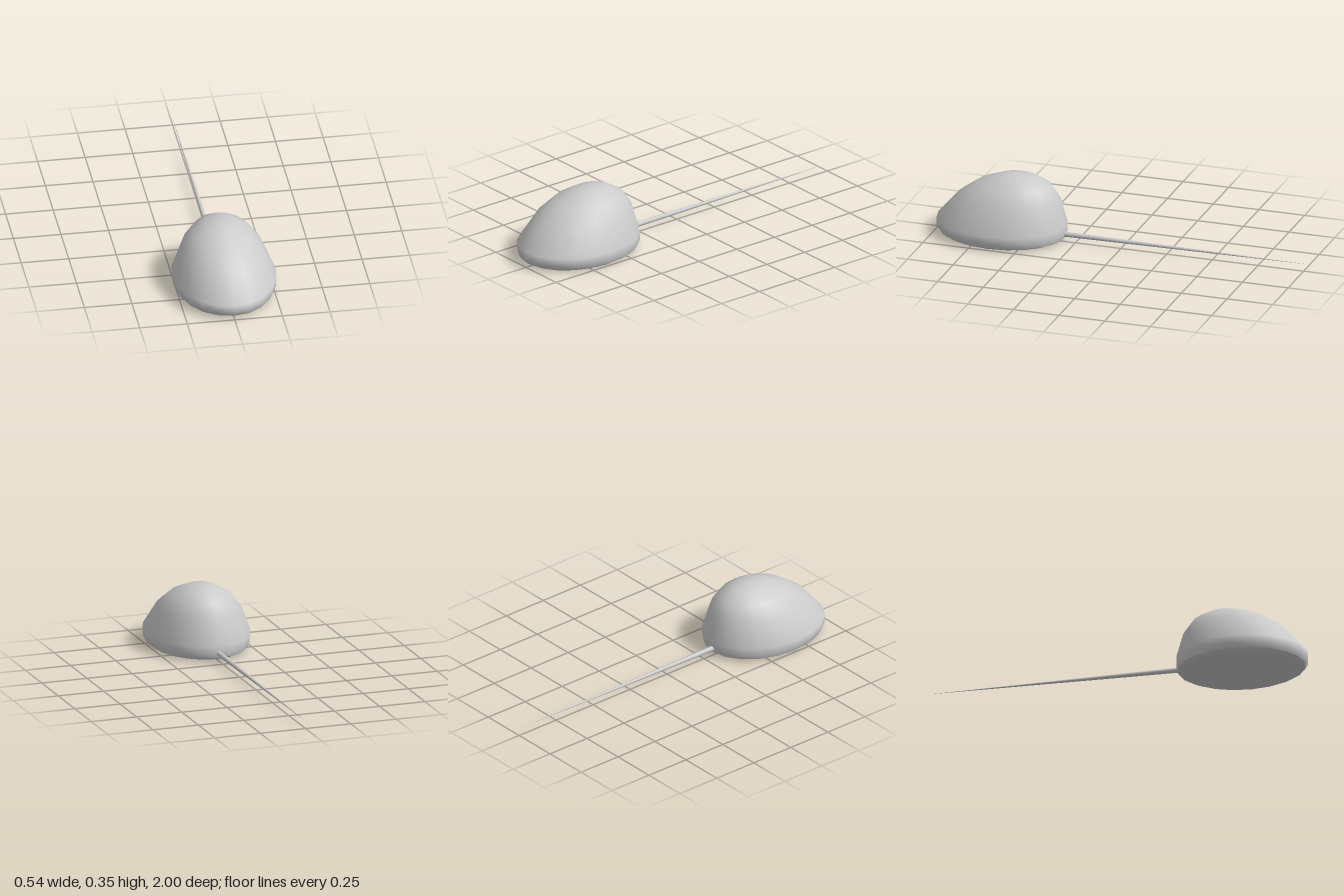
import * as THREE from 'three';

const SEGMENTS = 20;

// Skin over elliptical rings, listed top to bottom: [y, half width, back z, front z]
function loft(rings) {
  const positions = [], index = [];
  for (const [y, w, back, front] of rings) {
    const mid = (front + back) / 2, half = (front - back) / 2;
    for (let i = 0; i < SEGMENTS; i++) {
      const a = (i / SEGMENTS) * Math.PI * 2;
      positions.push(w * Math.sin(a), y, mid + half * Math.cos(a));
    }
  }
  for (let r = 0; r < rings.length - 1; r++) {
    for (let i = 0; i < SEGMENTS; i++) {
      const j = (i + 1) % SEGMENTS;
      const a = r * SEGMENTS + i, b = r * SEGMENTS + j;
      const c = a + SEGMENTS, d = b + SEGMENTS;
      if (rings[r][1] > 0) index.push(a, d, b);
      if (rings[r + 1][1] > 0) index.push(a, c, d);
      else if (rings[r][1] > 0) index.splice(-3, 3, a, c, b);
    }
  }
  const g = new THREE.BufferGeometry();
  g.setAttribute('position', new THREE.Float32BufferAttribute(positions, 3));
  g.setIndex(index);
  g.computeVertexNormals();
  // The collapsed top ring shares one upward normal
  if (rings[0][1] === 0) {
    for (let i = 0; i < SEGMENTS; i++) g.attributes.normal.setXYZ(i, 0, 1, 0);
  }
  return g;
}

export function createModel() {
  const group = new THREE.Group();
  const grey = new THREE.MeshStandardMaterial({ color: 0xcccccc });
  const add = (name, geometry) => {
    const mesh = new THREE.Mesh(geometry, grey);
    mesh.name = name;
    group.add(mesh);
    return mesh;
  };

  // Domed body, steep at the back and sloping to the nose
  const rim = [0.018, 0.257, 0.312, 0.985];
  const edge = [0.006, 0.238, 0.337, 0.962];
  add('body', loft([
    [0.35, 0, 0.57, 0.57],
    [0.334, 0.081, 0.462, 0.672],
    [0.29, 0.155, 0.387, 0.782],
    [0.218, 0.214, 0.34, 0.885],
    [0.084, 0.272, 0.304, 1.0],
    [0.042, 0.268, 0.303, 1.0],
    rim,
  ]));

  // Bevel and nearly flat underside
  add('lowerEdge', loft([rim, edge]));
  add('underside', loft([edge, [0.002, 0, 0.65, 0.65]]));

  // Thin tapering tail, pointing straight back
  const tailStart = 0.33, tailEnd = -1;
  const tail = add('tail', new THREE.CylinderGeometry(0.0003, 0.014, tailStart - tailEnd, 10, 4));
  tail.rotation.x = -Math.PI / 2;
  tail.position.set(0, 0.043, (tailStart + tailEnd) / 2);

  return group;
}
